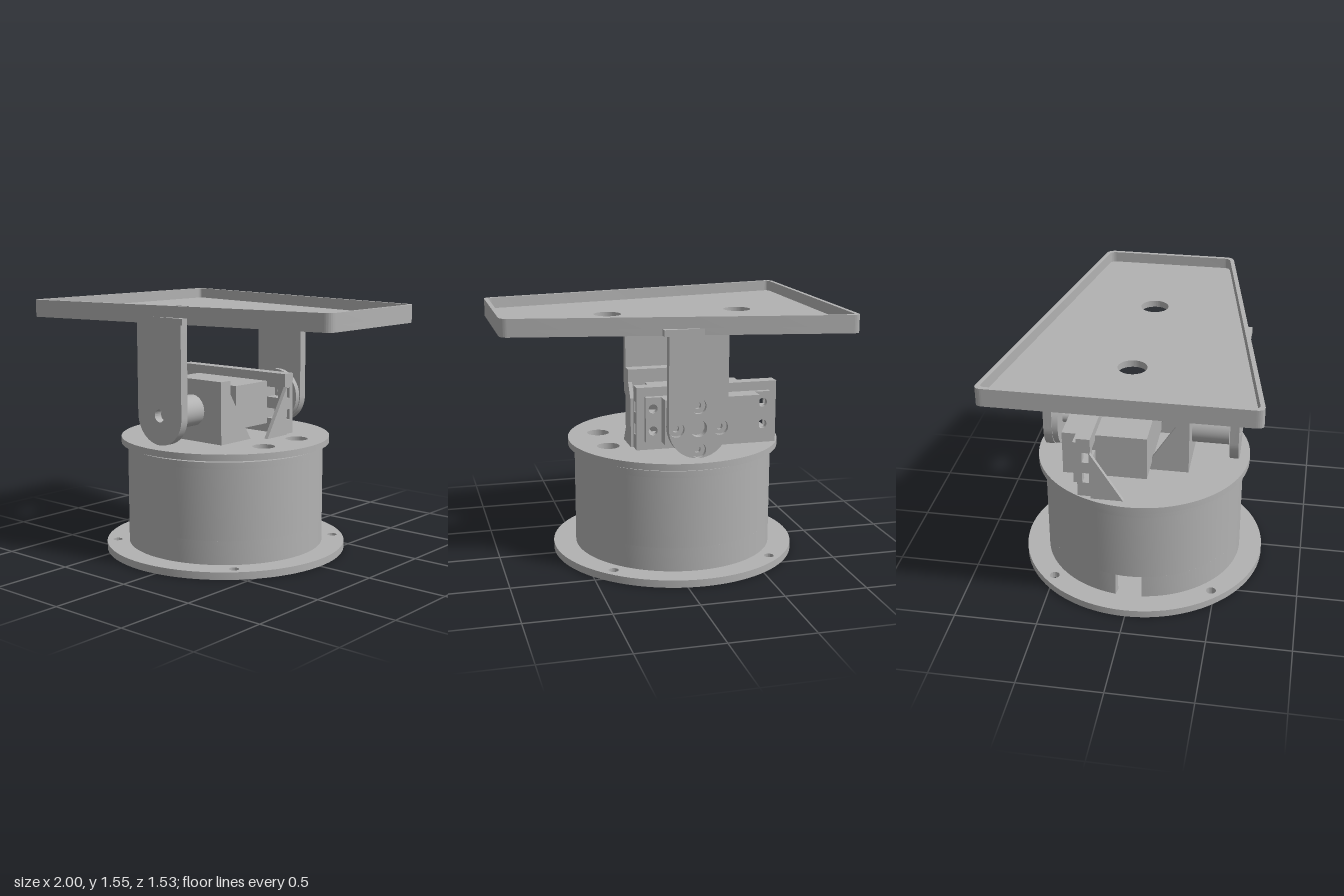
import * as THREE from 'three';
import { toCreasedNormals } from 'three/addons/utils/BufferGeometryUtils.js';

const AXIS = -0.1; // x of the turning axis
const grey = new THREE.MeshStandardMaterial({ color: 0xb2b2b2 });
grey.name = 'plain grey';

export function createModel() {
  const model = new THREE.Group();
  model.name = 'panTiltTurret';

  const add = (name, geometry, parent = model) => {
    const mesh = new THREE.Mesh(geometry, grey);
    mesh.name = name;
    parent.add(mesh);
    return mesh;
  };
  const group = (name) => {
    const g = new THREE.Group();
    g.name = name;
    model.add(g);
    return g;
  };
  // box given by its limits on each axis
  const box = (name, x0, x1, y0, y1, z0, z1, parent) => {
    const g = new THREE.BoxGeometry(x1 - x0, y1 - y0, z1 - z0);
    g.translate((x0 + x1) / 2, (y0 + y1) / 2, (z0 + z1) / 2);
    return add(name, g, parent);
  };
  const circle = (x, y, r) => new THREE.Path().absarc(x, y, r, 0, Math.PI * 2, true);
  const disc = (r) => new THREE.Shape().absarc(AXIS, 0, r, 0, Math.PI * 2, false);
  const extrude = (shape, depth) => toCreasedNormals(new THREE.ExtrudeGeometry(shape,
    { depth, bevelEnabled: false, curveSegments: 48 }), 0.5);
  // horizontal plate between two heights
  const flat = (name, shape, y0, y1, parent) => add(name,
    extrude(shape, y1 - y0).rotateX(-Math.PI / 2).translate(0, y0, 0), parent);
  // upright plate between two depths
  const upright = (name, shape, z0, z1, parent) => add(name,
    extrude(shape, z1 - z0).translate(0, 0, z0), parent);
  // cylinder along z on the tilt axis
  const TILT = 0.905;
  const shaft = (name, r, z0, z1, parent) => add(name,
    new THREE.CylinderGeometry(r, r, z1 - z0, 48).rotateX(Math.PI / 2)
      .translate(AXIS, TILT, (z0 + z1) / 2), parent);

  // Base flange with four screw holes
  const base = group('base');
  const flange = disc(0.75);
  for (let i = 0; i < 4; i++) {
    const a = Math.PI / 4 + i * Math.PI / 2;
    flange.holes.push(circle(AXIS + 0.685 * Math.cos(a), 0.685 * Math.sin(a), 0.03));
  }
  flat('baseFlange', flange, 0, 0.045, base);

  // Hollow drum with a cable slot on its -x side
  const gap = 0.13;
  const slotted = new THREE.Shape();
  slotted.absarc(AXIS, 0, 0.61, -Math.PI + gap, Math.PI - gap, false);
  slotted.absarc(AXIS, 0, 0.56, Math.PI - gap, -Math.PI + gap, true);
  slotted.closePath();
  flat('drumLowerWall', slotted, 0.045, 0.19, base);
  const ring = disc(0.61);
  ring.holes.push(circle(AXIS, 0, 0.56));
  flat('drumUpperWall', ring, 0.19, 0.62, base);
  flat('drumLid', disc(0.61), 0.62, 0.66, base);
  flat('panHub', disc(0.17), 0.66, 0.68, base);

  // Turntable with two cable holes
  const table = disc(0.65);
  for (const s of [-1, 1]) table.holes.push(circle(0.34, s * 0.16, 0.068));
  flat('turntable', table, 0.675, 0.715);

  // Triangular brace behind a bracket; s is the side of z it stands on
  const gusset = (x, s, parent) => {
    const tri = new THREE.Shape();
    tri.moveTo(-0.22, 0.715).lineTo(-0.03, 0.715).lineTo(-0.22, 1.015).closePath();
    const g = extrude(tri, 0.025);
    if (s < 0) g.rotateY(-Math.PI / 2).translate(x + 0.025, 0, 0);
    else g.rotateY(Math.PI / 2).translate(x, 0, 0);
    add('gusset', g, parent);
  };

  // Front bearing bracket and its pivot
  const front = group('frontBracket');
  box('frontPlate', -0.33, 0.13, 0.715, 1.095, 0.22, 0.303, front);
  gusset(-0.33, 1, front);
  gusset(0.105, 1, front);
  shaft('pivotPin', 0.095, 0.3, 0.525, front);

  // Rear servo bracket: a frame whose posts have crossing screw slots
  const rear = group('rearBracket');
  const z0 = -0.3, z1 = -0.22;
  box('bottomBar', -0.525, 0.055, 0.715, 0.77, z0, z1, rear);
  box('topBar', -0.525, 0.055, 1.04, 1.095, z0, z1, rear);
  const posts = [[-0.67, -0.525, -0.67, -0.615], [0.055, 0.198, 0.145, 0.198]];
  for (const [x0, x1, wall0, wall1] of posts) {
    for (const [y0, y1] of [[0.715, 0.805], [0.87, 0.94], [1.005, 1.095]])
      box('post', x0, x1, y0, y1, z0, z1, rear);
    for (const [y0, y1] of [[0.805, 0.87], [0.94, 1.005]]) {
      box('slotWall', wall0, wall1, y0, y1, -0.23, z1, rear);
      box('slotWall', wall0, wall1, y0, y1, z0, -0.27, rear);
    }
  }
  gusset(-0.693, -1, rear);
  gusset(0.19, -1, rear);

  // Tilt servo: body, mounting ears, shaft and horn
  const servo = group('tiltServo');
  box('servoBody', -0.525, 0.055, 0.77, 1.04, -0.416, 0.082, servo);
  const ears = new THREE.Shape();
  ears.moveTo(-0.62, 0.77).lineTo(0.15, 0.77).lineTo(0.15, 1.04).lineTo(-0.62, 1.04).closePath();
  for (const x of [-0.575, 0.105])
    for (const y of [0.838, 0.972]) ears.holes.push(circle(x, y, 0.027));
  upright('servoEars', ears, -0.333, -0.3, servo);
  shaft('servoShaft', 0.04, -0.505, -0.416, servo);
  shaft('servoHorn', 0.17, -0.54, -0.503, servo);

  // Arms: straight sides, round lower end, optional holes [x, y, radius]
  const armShape = (holes) => {
    const s = new THREE.Shape();
    s.moveTo(AXIS + 0.176, 1.45);
    s.lineTo(AXIS - 0.176, 1.45);
    s.lineTo(AXIS - 0.176, TILT);
    s.absarc(AXIS, TILT, 0.176, Math.PI, Math.PI * 2, false);
    s.closePath();
    for (const [x, y, r] of holes) s.holes.push(circle(AXIS + x, TILT + y, r));
    return s;
  };
  const hornHoles = (r) => [[0, 0, 0.05],
    ...[[0.13, 0], [-0.13, 0], [0, 0.13], [0, -0.13]].map(([x, y]) => [x, y, r])];
  const arms = group('tiltArms');
  upright('frontArm', armShape([[0, 0, 0.038]]), 0.537, 0.59, arms);
  upright('rearArmInner', armShape(hornHoles(0.02)), -0.565, -0.537, arms);
  upright('rearArmOuter', armShape(hornHoles(0.045)), -0.59, -0.565, arms);
  // Tabs joining the arms to the tray
  box('frontTab', -0.28, 0.11, 1.45, 1.488, 0.537, 0.614, arms);
  box('rearTab', -0.28, 0.11, 1.45, 1.488, -0.614, -0.537, arms);

  // Tapered tray with rounded corners, rim and two holes
  const trapezoid = (inset, Type, r) => {
    const x = 1 - inset, slope = 0.178;
    const half = (px) => 0.592 - slope * px - inset * 1.016;
    const c = [[-x, -half(-x)], [x, -half(x)], [x, half(x)], [-x, half(-x)]]
      .map(([a, b]) => new THREE.Vector2(a, b));
    const p = new Type();
    c.forEach((v, i) => {
      const from = c[(i + 3) % 4].clone().sub(v).setLength(r).add(v);
      const to = c[(i + 1) % 4].clone().sub(v).setLength(r).add(v);
      if (i) p.lineTo(from.x, from.y);
      else p.moveTo(from.x, from.y);
      p.quadraticCurveTo(v.x, v.y, to.x, to.y);
    });
    p.closePath();
    return p;
  };
  const tray = group('tray');
  const floor = trapezoid(0, THREE.Shape, 0.05);
  for (const x of [-0.51, 0.305]) floor.holes.push(circle(x, 0, 0.083));
  flat('trayFloor', floor, 1.45, 1.49, tray);
  const rim = trapezoid(0, THREE.Shape, 0.05);
  rim.holes.push(trapezoid(0.025, THREE.Path, 0.035));
  flat('trayRim', rim, 1.49, 1.555, tray);

  return model;
}
